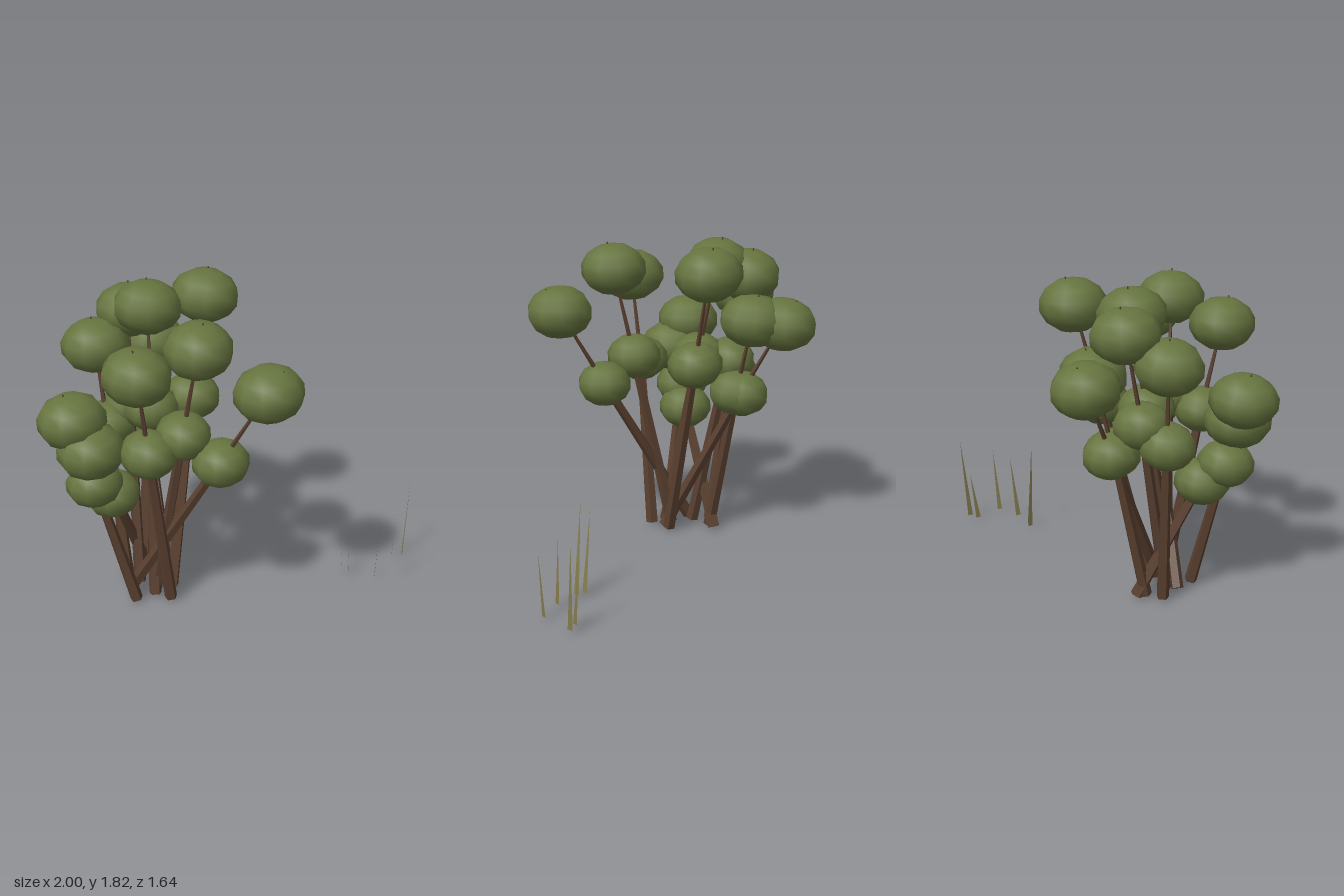
import * as THREE from 'three';

const mat = (name, color, side = THREE.FrontSide) => {
  const m = new THREE.MeshStandardMaterial({ color, side });
  m.name = name;
  return m;
};

// Stems: base (x, z), lower leaf cluster (x, y, z), upper leaf cluster (x, y, z)
const STEMS = [
  [[-0.47, -0.18], [-0.265, 0.955, 0.35], [-0.17, 1.415, 0.605]],
  [[-0.39, -0.06], [-0.37, 1.085, 0.165], [-0.36, 1.61, 0.28]],
  [[-0.38, 0.06], [-0.56, 1.015, 0.1], [-0.66, 1.505, 0.14]],
  [[-0.29, -0.03], [-0.025, 1.115, -0.14], [0.12, 1.665, -0.19]],
  [[-0.42, -0.03], [-0.28, 1.1, -0.2], [-0.21, 1.65, -0.295]],
  [[-0.4, -0.19], [-0.28, 1.065, -0.38], [-0.2, 1.585, -0.47]],
  [[-0.33, -0.01], [-0.12, 0.905, -0.425], [-0.02, 1.335, -0.64]],
  [[-0.3, -0.28], [-0.13, 0.91, -0.4], [-0.03, 1.36, -0.47]],
  [[-0.4, -0.3], [-0.42, 0.97, -0.42], [-0.43, 1.43, -0.49]],
  [[-0.535, -0.06], [-0.72, 0.795, -0.17], [-0.81, 1.18, -0.225]],
  [[-0.25, -0.3], [-0.595, 0.685, -0.175], [-0.775, 1.03, -0.12]],
];

// Blades: base (x, z), tip (x, y, z), half width (x, z)
const BLADES = [
  [[0.535, 0.555], [0.515, 0.5, 0.515], [0.011, -0.011]],
  [[0.545, 0.6], [0.52, 0.55, 0.565], [0.012, -0.012]],
  [[0.645, 0.71], [0.69, 0.42, 0.7], [0.013, -0.009]],
  [[0.785, 0.79], [0.828, 0.42, 0.812], [0.012, -0.008]],
  [[0.89, 0.635], [0.932, 0.32, 0.62], [0.012, -0.01]],
  [[0.95, 0.665], [1.0, 0.53, 0.655], [0.012, -0.012]],
];

const UP = new THREE.Vector3(0, 1, 0);

// Tapered five-sided limb between two points
function limb(name, a, b, r0, r1, material) {
  const dir = b.clone().sub(a);
  const geo = new THREE.CylinderGeometry(r1, r0, dir.length(), 5).toNonIndexed();
  geo.computeVertexNormals();
  const mesh = new THREE.Mesh(geo, material);
  mesh.name = name;
  mesh.position.copy(a).add(b).multiplyScalar(0.5);
  mesh.quaternion.setFromUnitVectors(UP, dir.normalize());
  return mesh;
}

export function createModel() {
  const model = new THREE.Group();
  model.name = 'shrubWithGrass';
  const bark = mat('bark', 0x5a4030);
  bark.flatShading = true;
  const leaf = mat('leaf', 0x66743f);
  const grass = mat('dryGrass', 0x857c4e, THREE.DoubleSide);
  const ball = new THREE.SphereGeometry(1, 10, 7);

  // Shrub: each stem carries a small cluster midway and a larger one on top
  STEMS.forEach(([base, low, high], i) => {
    const stem = new THREE.Group();
    stem.name = 'stem' + (i + 1);
    const a = new THREE.Vector3(base[0], 0.02, base[1]);
    const b = new THREE.Vector3(...low);
    const c = new THREE.Vector3(...high);
    const tip = c.clone().add(c.clone().sub(b).normalize().multiplyScalar(0.16));
    stem.add(limb('trunk', a, b, 0.037, 0.025, bark));
    stem.add(limb('twig', b, tip, 0.016, 0.004, bark));
    [[b, 0.162, 0.13, 'lowerLeaves'], [c, 0.194, 0.15, 'upperLeaves']].forEach(([p, r, h, name]) => {
      const leaves = new THREE.Mesh(ball, leaf);
      leaves.name = name;
      leaves.position.copy(p);
      leaves.scale.set(r, h, r * 0.96);
      leaves.rotation.set(0, i * 0.7, 0.08);
      stem.add(leaves);
    });
    model.add(stem);
  });

  // Grass: thin pointed blades
  BLADES.forEach(([[x, z], tip, [wx, wz]], i) => {
    const geo = new THREE.BufferGeometry();
    geo.setAttribute('position', new THREE.Float32BufferAttribute(
      [x - wx, 0.02, z - wz, x + wx, 0.02, z + wz, ...tip], 3));
    geo.computeVertexNormals();
    const blade = new THREE.Mesh(geo, grass);
    blade.name = 'grassBlade' + (i + 1);
    model.add(blade);
  });
  return model;
}
